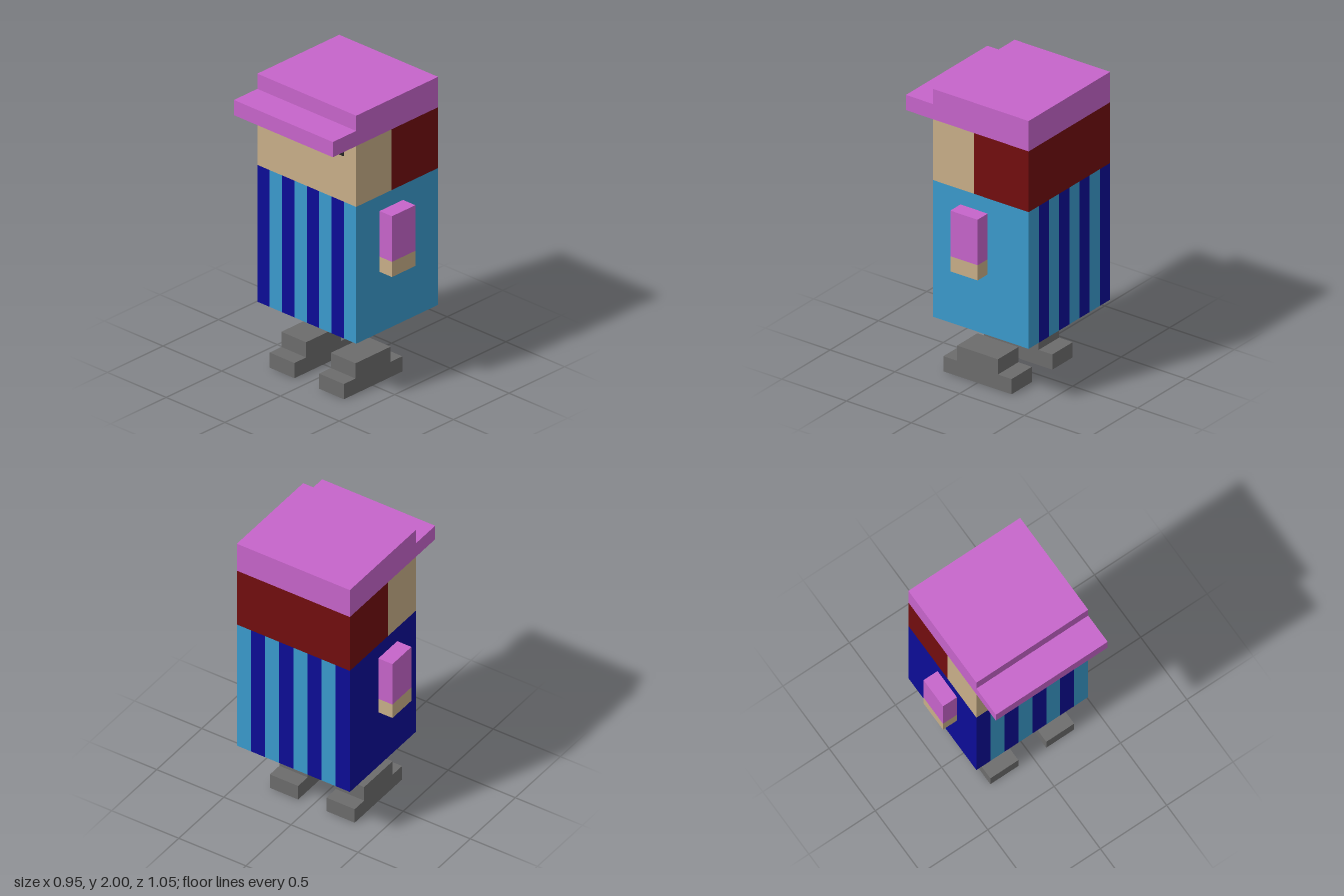
import * as THREE from 'three';

const U = 2 / 19; // edge of one block

const paint = (name, color) => {
  const m = new THREE.MeshStandardMaterial({ color });
  m.name = name;
  return m;
};

export function createModel() {
  const orchid = paint('orchid', 0xc664ca);
  const maroon = paint('maroon', 0x720d0e);
  const skyBlue = paint('sky blue', 0x3a9acc);
  const navy = paint('navy', 0x0c0c96);
  const tan = paint('tan', 0xc8ae88);
  const grey = paint('grey', 0x6c6c6c);
  const dark = paint('dark', 0x262626);

  const model = new THREE.Group();
  model.name = 'blockFigure';

  // Box between two corners given in block units
  const block = (name, mat, [x0, y0, z0], [x1, y1, z1], parent = model) => {
    const mesh = new THREE.Mesh(
      new THREE.BoxGeometry((x1 - x0) * U, (y1 - y0) * U, (z1 - z0) * U), mat);
    mesh.position.set((x0 + x1) * U / 2, (y0 + y1) * U / 2, (z0 + z1) * U / 2);
    mesh.name = name;
    parent.add(mesh);
    return mesh;
  };

  // Striped body, one slice per stripe
  const body = new THREE.Group();
  body.name = 'body';
  model.add(body);
  for (let i = 0; i < 8; i++) {
    block('stripe', i % 2 ? skyBlue : navy, [-2.5, 4, i - 4], [4.5, 13, i - 3], body);
  }

  // Head: face toward -x, hair behind
  block('face', tan, [-2.5, 13, -4], [0.5, 17, 4]);
  block('hair', maroon, [0.5, 13, -4], [4.5, 17, 4]);

  // Cap and brim
  block('cap', orchid, [-2.5, 17, -4], [4.5, 19, 4]);
  block('brim', orchid, [-4.5, 17, -4], [-2.5, 18, 4]);

  // Shoe profile: sole with a raised middle
  const profile = new THREE.Shape([
    [-2.5, 0], [2.5, 0], [2.5, 1], [1.5, 1], [1.5, 2], [-1.5, 2], [-1.5, 1], [-2.5, 1],
  ].map(([x, y]) => new THREE.Vector2(x * U, y * U)));
  const shoeGeometry = new THREE.ExtrudeGeometry(profile, { depth: 2 * U, bevelEnabled: false });

  // Mirrored eyes, arms and shoes
  for (const s of [-1, 1]) {
    const span = (a, b) => (s > 0 ? [a, b] : [-b, -a]);

    const [e0, e1] = span(2, 3);
    block('eye', dark, [-2.54, 16, e0], [-2.5, 17, e1]);

    const [a0, a1] = span(4, 5);
    block('sleeve', orchid, [-0.5, 9, a0], [1.5, 12, a1]);
    block('hand', tan, [-0.5, 8, a0], [1.5, 9, a1]);

    const shoe = new THREE.Mesh(shoeGeometry, grey);
    shoe.name = 'shoe';
    shoe.position.z = span(1, 3)[0] * U;
    model.add(shoe);
  }

  return model;
}
